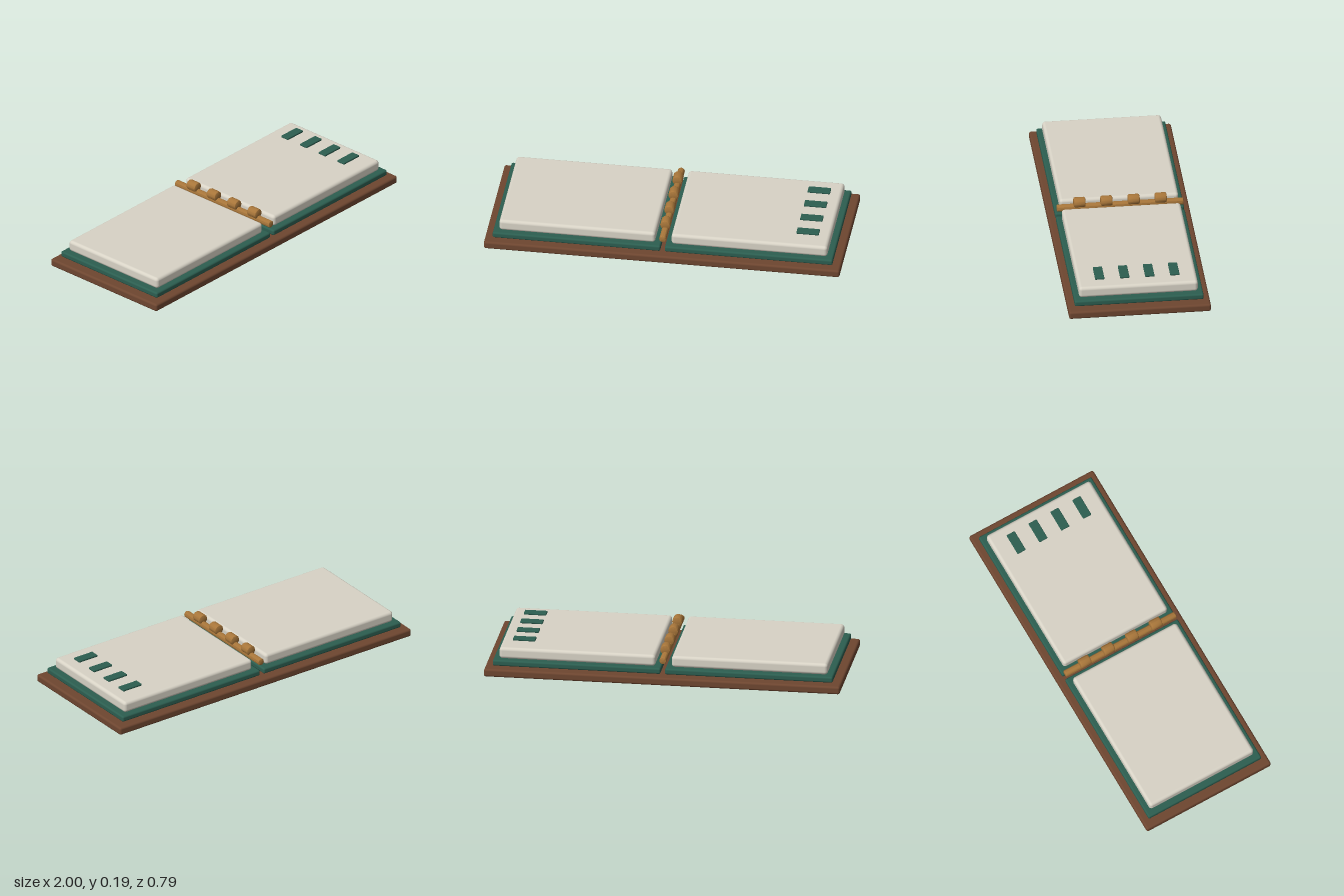
import * as THREE from 'three';
import { RoundedBoxGeometry } from 'three/addons/geometries/RoundedBoxGeometry.js';
import { toCreasedNormals } from 'three/addons/utils/BufferGeometryUtils.js';

const paint = (color) => new THREE.MeshStandardMaterial({ color });

export function createModel() {
  const group = new THREE.Group();
  const wood = paint(0x6e4630);
  const green = paint(0x2c5e50);
  const paper = paint(0xd8d3c6);
  const brass = paint(0xa8763a);

  const add = (name, geometry, material, x, y, z) => {
    const mesh = new THREE.Mesh(geometry, material);
    mesh.name = name;
    mesh.position.set(x, y, z);
    group.add(mesh);
  };

  // Box with softened edges, given by its bottom and top heights
  const slab = (name, material, x, y0, y1, z, width, depth, radius) =>
    add(name, new RoundedBoxGeometry(width, y1 - y0, depth, 3, radius), material, x, (y0 + y1) / 2, z);

  // Cylinder lying along z with bevelled ends
  const bar = (name, radius, length, bevel, sides, y, z) => {
    const h = length / 2;
    const profile = [
      [0, -h], [radius - bevel, -h], [radius - bevel * 0.3, -h + bevel * 0.3], [radius, -h + bevel],
      [radius, h - bevel], [radius - bevel * 0.3, h - bevel * 0.3], [radius - bevel, h], [0, h],
    ].map(([r, t]) => new THREE.Vector2(r, t));
    const geometry = new THREE.LatheGeometry(profile, sides).rotateX(Math.PI / 2);
    add(name, toCreasedNormals(geometry, 0.6), brass, 0, y, z);
  };

  // Wooden base board
  slab('baseBoard', wood, 0, 0, 0.045, 0, 2, 0.794, 0.012);

  // Mirrored covers and page blocks
  for (const [side, s] of [['left', 1], ['right', -1]]) {
    slab(side + 'Cover', green, s * 0.484, 0.054, 0.088, 0, 0.943, 0.722, 0.01);
    slab(side + 'Pages', paper, s * 0.484, 0.088, 0.153, 0, 0.877, 0.666, 0.018);
  }

  // Hinge rod with four binding rings
  bar('hingeRod', 0.02, 0.708, 0.006, 12, 0.131, 0);
  for (const z of [-0.227, -0.076, 0.076, 0.227]) bar('bindingRing', 0.029, 0.066, 0.008, 12, 0.161, z);

  // Index tabs above the left pages
  for (const z of [-0.21, -0.07, 0.07, 0.21]) slab('indexTab', green, 0.797, 0.163, 0.175, z, 0.126, 0.052, 0.004);

  return group;
}
